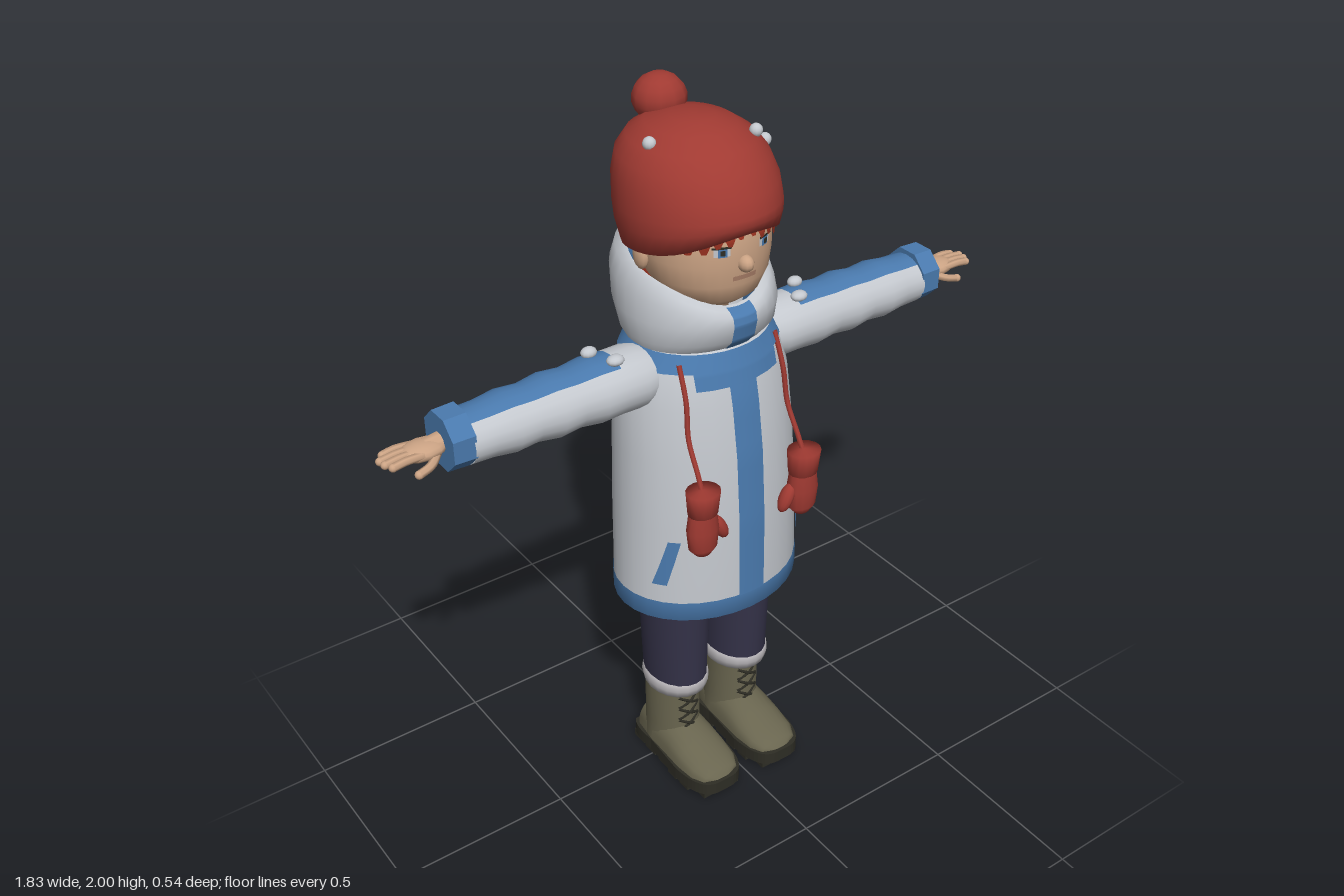
import * as THREE from 'three';
import { mergeVertices } from 'three/addons/utils/BufferGeometryUtils.js';

const mat = (name, color) => Object.assign(new THREE.MeshStandardMaterial({ color, side: THREE.DoubleSide }), { name });
const M = {
  coat: mat('coat white', 0xc4c8ce), trim: mat('trim blue', 0x4a7aae), red: mat('knit red', 0xa03a32),
  hair: mat('hair red', 0x96301f), skin: mat('skin', 0xcba384), lips: mat('lips', 0xa67c66),
  pants: mat('trouser navy', 0x343248), boot: mat('boot olive', 0x69654f),
  sole: mat('sole dark', 0x2e2d25), fur: mat('fur grey', 0xb2afb2),
};

const mesh = (name, geo, m, pos = [0, 0, 0]) => {
  const o = new THREE.Mesh(geo, m);
  o.name = name;
  o.position.set(...pos);
  return o;
};

// Smooth surface from f(u, v); faces picked by `second` go to material slot 1
function grid(nu, nv, f, second = () => false) {
  const pos = [], lists = [[], []];
  for (let j = 0; j <= nv; j++) for (let i = 0; i <= nu; i++) pos.push(...f(i / nu, j / nv));
  for (let j = 0; j < nv; j++) for (let i = 0; i < nu; i++) {
    const a = j * (nu + 1) + i, b = a + 1, c = b + nu + 1, d = a + nu + 1;
    lists[second((i + 0.5) / nu, (j + 0.5) / nv) ? 1 : 0].push(a, b, c, a, c, d);
  }
  let g = new THREE.BufferGeometry();
  g.setAttribute('position', new THREE.Float32BufferAttribute(pos, 3));
  g.setIndex([...lists[0], ...lists[1]]);
  g = mergeVertices(g, 1e-5);
  if (lists[1].length) {
    g.addGroup(0, lists[0].length, 0);
    g.addGroup(lists[0].length, lists[1].length, 1);
  }
  g.computeVertexNormals();
  return g;
}

// Rings are [y, half width, front z, back z, tilt, front dip]
function ring(rows, t, a, off = 0) {
  const i = Math.min(Math.floor(t), rows.length - 2), k = t - i;
  const [y, rx, zf, zb, tilt, dip] = [0, 1, 2, 3, 4, 5].map(n => (rows[i][n] || 0) * (1 - k) + (rows[i + 1][n] || 0) * k);
  const z = (zf + zb) / 2 + ((zf - zb) / 2 + off) * Math.cos(a);
  return [(rx + off) * Math.sin(a), y + tilt * z - dip * Math.max(0, Math.cos(a)) ** 3, z];
}
const loft = (rows, seg = 32, off = 0) =>
  grid(seg, rows.length - 1, (u, v) => ring(rows, v * (rows.length - 1), u * Math.PI * 2, off));
function rowAt(rows, y) {
  let i = 0;
  while (i < rows.length - 2 && rows[i + 1][0] < y) i++;
  return i + (y - rows[i][0]) / (rows[i + 1][0] - rows[i][0]);
}
// Point on a lofted body at a given x and y, on its front half
function frontPoint(rows, x, y, off) {
  const t = rowAt(rows, y), rx = ring(rows, t, Math.PI / 2)[0];
  return ring(rows, t, Math.asin(x / rx), off);
}
// Thin painted plate lying on the front of a lofted body
const patch = (rows, y0, y1, xa, xb, off = 0.005) => grid(6, 20, (u, v) => {
  const y = y0 + (y1 - y0) * v;
  return frontPoint(rows, xa(v) + (xb(v) - xa(v)) * u, y, off);
});
const tube = (pts, r, n = 12) =>
  new THREE.TubeGeometry(new THREE.CatmullRomCurve3(pts.map(p => new THREE.Vector3(...p))), n, r, 6);
const ball = (r, sx = 1, sy = 1, sz = 1) => new THREE.SphereGeometry(r, 12, 9).scale(sx, sy, sz);

const COAT = [[0.67, 0.268, 0.225, -0.2], [0.9, 0.262, 0.222, -0.205], [1.1, 0.253, 0.208, -0.205], [1.25, 0.243, 0.186, -0.2],
  [1.34, 0.22, 0.165, -0.195], [1.39, 0.188, 0.148, -0.183], [1.42, 0.08, 0.07, -0.1]];
const HEM = [[0.8, 0, 0.01, 0.01], [0.8, 0.24, 0.2, -0.175], [0.62, 0.25, 0.205, -0.18], [0.62, 0.27, 0.228, -0.201], [0.677, 0.27, 0.229, -0.203]];
const HOOD = [[1.375, 0.185, 0.14, -0.175, 0.1], [1.41, 0.2, 0.172, -0.215, 0.08], [1.47, 0.207, 0.183, -0.25, 0], [1.53, 0.2, 0.178, -0.268, -0.1, 0.02],
  [1.57, 0.187, 0.165, -0.248, -0.2, 0.035], [1.582, 0.168, 0.145, -0.2, -0.22, 0.04]];
const LINING = [HOOD[5], [1.54, 0.145, 0.12, -0.16, -0.2, 0.03], [1.45, 0.12, 0.09, -0.14]];
const HEAD = [[1.42, 0.07, 0.06, -0.09], [1.495, 0.075, 0.08, -0.1], [1.505, 0.095, 0.125, -0.105], [1.53, 0.128, 0.157, -0.12],
  [1.575, 0.155, 0.172, -0.14], [1.63, 0.166, 0.176, -0.155], [1.7, 0.168, 0.178, -0.17], [1.8, 0.15, 0.15, -0.17], [1.86, 0, -0.02, -0.02]];
const HAT = [[1.66, 0.168, 0.165, -0.17, 0.16, -0.04], [1.645, 0.19, 0.195, -0.215, 0.16, -0.04], [1.7, 0.2, 0.205, -0.236, 0.14, -0.01],
  [1.74, 0.202, 0.204, -0.244, 0.08], [1.8, 0.197, 0.192, -0.25], [1.85, 0.182, 0.162, -0.242], [1.89, 0.153, 0.125, -0.215],
  [1.92, 0.108, 0.075, -0.17], [1.937, 0.055, 0.02, -0.1], [1.94, 0, -0.04, -0.04]];

function buildArm() {
  const g = new THREE.Group();
  // Puffy sleeve with a blue panel over the top and back
  const S = [[0.15, 0.07], [0.22, 0.086], [0.28, 0.085], [0.34, 0.088], [0.4, 0.08], [0.46, 0.086], [0.52, 0.077], [0.58, 0.082], [0.64, 0.074], [0.7, 0.072]];
  const n = S.length - 1;
  g.add(mesh('sleeve', grid(20, n, (u, v) => {
    const [x, r] = S[Math.round(v * n)], a = u * Math.PI * 2;
    return [x, 1.313 + r * 0.95 * Math.cos(a), r * 1.06 * Math.sin(a)];
  }, (u, v) => {
    const d = u > 0.5 ? u - 1 : u, row = Math.floor(v * n);
    return row >= 2 && d < 0.09 && d > (row < 6 ? -0.3 : -0.14);
  }), [M.coat, M.trim]));
  const cuff = new THREE.CylinderGeometry(0.077, 0.079, 0.06, 8).toNonIndexed();
  cuff.computeVertexNormals();
  g.add(mesh('sleeveCuff', cuff.rotateY(Math.PI / 8).rotateZ(-Math.PI / 2), M.trim, [0.725, 1.32, 0]));
  // Hand
  g.add(mesh('palm', ball(1, 0.062, 0.023, 0.042), M.skin, [0.8, 1.316, 0.002]));
  g.add(mesh('wrist', new THREE.CylinderGeometry(0.022, 0.03, 0.06, 10).rotateZ(-Math.PI / 2), M.skin, [0.765, 1.318, 0]));
  [0.889, 0.905, 0.902, 0.892].forEach((tip, i) => {
    const z = -0.028 + i * 0.0205;
    g.add(mesh('finger', tube([[0.8, 1.318, z * 0.9], [0.86, 1.322, z], [tip, 1.317, z]], 0.0105, 6), M.skin));
    g.add(mesh('fingertip', ball(0.0105), M.skin, [tip, 1.317, z]));
  });
  g.add(mesh('thumb', tube([[0.77, 1.31, 0.02], [0.805, 1.298, 0.05], [0.84, 1.29, 0.057]], 0.011, 8), M.skin));
  g.add(mesh('thumbTip', ball(0.011), M.skin, [0.84, 1.29, 0.057]));
  // Snow on the sleeve
  g.add(mesh('snowLump', ball(0.02, 1.2, 0.7, 1), M.coat, [0.286, 1.396, 0.036]));
  g.add(mesh('snowLump', ball(0.02, 1.1, 0.75, 0.9), M.coat, [0.322, 1.4, -0.028]));
  g.name = 'arm';
  return g;
}

function buildLeg() {
  const g = new THREE.Group();
  g.add(mesh('trouserLeg', loft([[0.3, 0.083, 0.118, -0.092], [0.6, 0.091, 0.13, -0.105], [0.82, 0.093, 0.13, -0.11]], 20), M.pants));
  g.add(mesh('furCuff', loft([[0.268, 0.07, 0.09, -0.08], [0.275, 0.085, 0.115, -0.088], [0.298, 0.09, 0.122, -0.094],
    [0.318, 0.087, 0.119, -0.09], [0.326, 0.07, 0.09, -0.08]], 20), M.fur));
  g.add(mesh('bootShaft', loft([[0.055, 0.078, 0.088, -0.093], [0.13, 0.073, 0.086, -0.09], [0.28, 0.074, 0.086, -0.09]], 20), M.boot));
  // Foot from arched sections running heel to toe
  const F = [[-0.093, 0.03, 0.05], [-0.08, 0.068, 0.08], [0, 0.078, 0.1], [0.08, 0.08, 0.086], [0.14, 0.082, 0.062], [0.2, 0.076, 0.04], [0.235, 0.058, 0.022], [0.25, 0.02, 0.002]];
  g.add(mesh('bootFoot', grid(12, F.length - 1, (u, v) => {
    const [z, w, h] = F[Math.round(v * (F.length - 1))], a = u * Math.PI;
    return [w * Math.cos(a), 0.056 + h * Math.sin(a) ** 0.8, z];
  }), M.boot));
  // Sole with cross lugs
  const s = new THREE.Shape();
  s.moveTo(-0.065, -0.1).lineTo(0.065, -0.1).quadraticCurveTo(0.088, -0.08, 0.08, 0);
  s.lineTo(0.09, 0.14).quadraticCurveTo(0.085, 0.26, 0.02, 0.26).lineTo(-0.02, 0.26);
  s.quadraticCurveTo(-0.085, 0.26, -0.09, 0.14).lineTo(-0.08, 0).quadraticCurveTo(-0.088, -0.08, -0.065, -0.1);
  g.add(mesh('sole', new THREE.ExtrudeGeometry(s, { depth: 0.038, bevelEnabled: false }).rotateX(Math.PI / 2), M.sole, [0, 0.058, 0]));
  for (const [z, w, d] of [[-0.072, 0.145, 0.05], [-0.012, 0.15, 0.05], [0.052, 0.15, 0.045], [0.11, 0.165, 0.04], [0.165, 0.16, 0.04], [0.22, 0.12, 0.04]])
    g.add(mesh('soleLug', new THREE.BoxGeometry(w, 0.024, d), M.sole, [0, 0.012, z]));
  // Crossed laces
  for (const y of [0.145, 0.187, 0.229]) for (const k of [-1, 1])
    g.add(mesh('lace', tube([[-0.032, y - 0.02 * k, 0.077], [0, y, 0.087], [0.032, y + 0.02 * k, 0.077]], 0.0045, 6), M.sole));
  g.position.x = 0.105;
  g.name = 'leg';
  return g;
}

function buildMitten() {
  const g = new THREE.Group();
  const m = new THREE.Group();
  m.add(mesh('mittenHand', loft([[0.868, 0, 0, 0], [0.873, 0.022, 0.018, -0.018], [0.895, 0.041, 0.03, -0.03], [0.95, 0.047, 0.034, -0.034], [1.01, 0.038, 0.03, -0.03]], 14), M.red));
  m.add(mesh('mittenCuff', loft([[1, 0, 0, 0], [1, 0.041, 0.036, -0.036], [1.068, 0.047, 0.044, -0.04], [1.07, 0, 0, 0]], 14), M.red));
  const thumb = mesh('mittenThumb', ball(1, 0.019, 0.043, 0.021), M.red, [-0.053, 0.935, 0]);
  thumb.rotation.z = -0.45;
  m.add(thumb);
  m.position.set(0.162, 0, 0.228);
  m.name = 'mitten';
  const c = (x, y) => frontPoint(COAT, x, y, 0.008);
  g.add(m, mesh('mittenCord', tube([c(0.143, 1.37), c(0.147, 1.28), c(0.152, 1.18), [0.16, 1.1, 0.205], [0.162, 1.06, 0.225]], 0.0075, 20), M.red));
  g.name = 'mittenOnCord';
  return g;
}

function buildFace(g) {
  // Drawn for one side and mirrored by the caller
  g.add(mesh('ear', ball(1, 0.016, 0.038, 0.028), M.skin, [0.168, 1.625, -0.02]));
  g.add(mesh('eyeWhite', patch(HEAD, 1.662, 1.684, () => 0.042, () => 0.08, 0.003), M.coat));
  g.add(mesh('iris', patch(HEAD, 1.661, 1.685, () => 0.05, () => 0.071, 0.005), M.trim));
  g.add(mesh('pupil', patch(HEAD, 1.666, 1.68, () => 0.055, () => 0.066, 0.007), M.sole));
  g.add(mesh('upperLash', patch(HEAD, 1.683, 1.689, () => 0.04, () => 0.084, 0.006), M.sole));
  // Ragged fringe under the hat
  for (let i = 0; i < 5; i++) {
    const x = 0.003 + i * 0.027, tip = 1.702 - i * 0.008 - (i % 2) * 0.006;
    g.add(mesh('fringeLock', patch(HEAD, tip, 1.76, v => x + 0.01 * (1 - Math.min(1, v * 3)), v => x + 0.029 - 0.01 * (1 - Math.min(1, v * 3)), 0.009), M.hair));
  }
}

export function createModel() {
  const model = new THREE.Group();
  model.name = 'childInWinterCoat';

  // Coat body and trims
  model.add(mesh('coatBody', loft(COAT), M.coat));
  model.add(mesh('coatLining', loft(HEM.slice(0, 3)), M.coat));
  model.add(mesh('coatHem', loft(HEM.slice(2)), M.trim));
  model.add(mesh('frontPlacket', patch(COAT, 0.675, 1.385, () => -0.04, () => 0.04), M.trim));
  model.add(mesh('frontYoke', patch(COAT, 1.302, 1.388, () => -0.122, () => 0.122, 0.006), M.trim));
  const t0 = rowAt(COAT, 1.345), t1 = rowAt(COAT, 1.39);
  model.add(mesh('shoulderBand', grid(32, 2, (u, v) => ring(COAT, t0 + (t1 - t0) * v, u * Math.PI * 2, 0.004)), M.trim));

  // Hood folded down around the neck
  model.add(mesh('hoodRoll', loft(HOOD), M.coat));
  model.add(mesh('hoodLining', loft(LINING), M.trim));
  model.add(mesh('hoodPlacket', patch(HOOD, 1.38, 1.58, () => -0.034, () => 0.034, 0.004), M.trim));

  // Head, face and hair
  model.add(mesh('head', loft(HEAD), M.skin));
  model.add(mesh('nose', ball(1, 0.02, 0.022, 0.025), M.skin, [0, 1.632, 0.177]));
  model.add(mesh('mouth', patch(HEAD, 1.592, 1.604, () => -0.033, () => 0.033, 0.004), M.lips));
  model.add(mesh('backHair', grid(16, 6, (u, v) =>
    ring(HEAD, rowAt(HEAD, 1.52 + 0.18 * v), 1.95 + u * (Math.PI * 2 - 3.9), 0.014)), M.hair));

  // Knitted hat with pompom and snow
  model.add(mesh('hat', loft(HAT), M.red));
  model.add(mesh('pompom', ball(0.068, 1.03, 0.93, 1), M.red, [0, 1.937, -0.177]));
  for (const p of [[-0.137, 1.902, -0.02], [0.115, 1.902, 0.06], [0.197, 1.836, -0.01]])
    model.add(mesh('snowLump', ball(0.017), M.coat, p));

  // Mirrored parts
  for (const s of [1, -1]) {
    const side = new THREE.Group();
    side.name = s > 0 ? 'leftSide' : 'rightSide';
    side.add(buildArm(), buildLeg(), buildMitten());
    side.add(mesh('pocketTrim', patch(COAT, 0.735, 0.875, v => 0.213 - 0.03 * v, v => 0.238 - 0.03 * v), M.trim));
    buildFace(side);
    side.scale.x = s;
    model.add(side);
  }
  return model;
}
